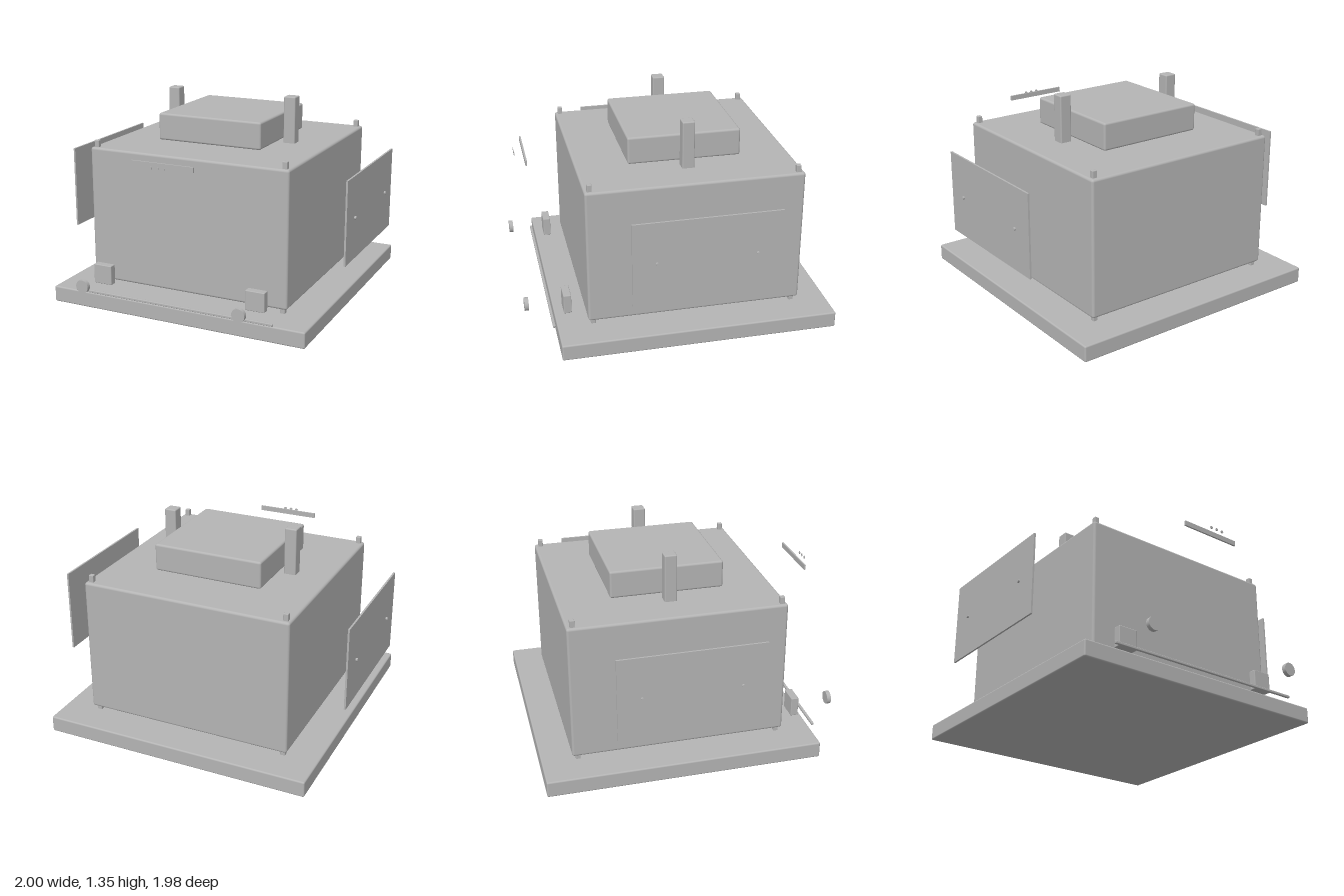
import * as THREE from 'three';
import { RoundedBoxGeometry } from 'three/addons/geometries/RoundedBoxGeometry.js';

export function createModel() {
  const model = new THREE.Group();
  model.name = 'explodedEnclosure';
  const grey = new THREE.MeshStandardMaterial({ color: 0xb4b4b4 });
  grey.name = 'plain grey';
  const flatGrey = grey;

  const add = (name, geometry, x, y, z, material = grey) => {
    const mesh = new THREE.Mesh(geometry, material);
    mesh.name = name;
    mesh.position.set(x, y, z);
    model.add(mesh);
    return mesh;
  };
  // Box from its extents, with optional rounded edges
  const box = (name, [x0, x1], [y0, y1], [z0, z1], radius = 0) => {
    const size = [x1 - x0, y1 - y0, z1 - z0];
    const geometry = radius
      ? new RoundedBoxGeometry(...size, 3, radius)
      : new THREE.BoxGeometry(...size);
    return add(name, geometry, (x0 + x1) / 2, (y0 + y1) / 2, (z0 + z1) / 2);
  };
  // Eight-sided disc with flat sides
  const octagon = (name, radius, y0, y1, z) => {
    const geometry = new THREE.CylinderGeometry(radius, radius, y1 - y0, 8).toNonIndexed();
    geometry.computeVertexNormals();
    add(name, geometry, 0, (y0 + y1) / 2, z, flatGrey);
  };

  // Base plate, main housing and top unit
  box('basePlate', [-0.892, 0.892], [0, 0.107], [-0.99, 0.797], 0.01);
  box('housing', [-0.697, 0.695], [0.138, 1.035], [-0.796, 0.6], 0.016);
  box('topUnit', [-0.37, 0.364], [1.05, 1.23], [-0.464, 0.272], 0.014);

  // Spacer discs under the housing and under the top unit
  octagon('lowerSpacer', 0.215, 0.1, 0.145, -0.092);
  octagon('upperSpacer', 0.25, 1.03, 1.055, -0.092);

  // Corner pegs running through the housing
  for (const x of [-0.662, 0.658]) {
    for (const z of [-0.757, 0.566]) {
      box('cornerPeg', [x - 0.016, x + 0.016], [0.1, 1.08], [z - 0.015, z + 0.015], 0.004);
    }
  }

  // Upright posts beside the top unit
  for (const x of [-0.432, 0.425]) {
    box('uprightPost', [x - 0.04, x + 0.04], [1.02, 1.345], [-0.138, -0.058], 0.008);
  }

  // Front mounting blocks and their round knobs
  for (const x of [-0.546, 0.541]) {
    box('mountingBlock', [x - 0.065, x + 0.065], [0.16, 0.29], [0.694, 0.744], 0.005);
    const knob = new THREE.CylinderGeometry(0.043, 0.043, 0.027, 32).rotateX(Math.PI / 2);
    add('knob', knob, x, 0.226, 0.975);
  }

  // Long trim strip, small label strip and its three indicator dots
  box('trimStrip', [-0.697, 0.695], [0.12, 0.137], [0.81, 0.827], 0.004);
  box('indicatorStrip', [-0.214, 0.208], [1.035, 1.069], [0.889, 0.9]);
  for (const x of [-0.047, -0.003, 0.041]) {
    const dot = new THREE.CylinderGeometry(0.01, 0.01, 0.004, 16).rotateX(Math.PI / 2);
    add('indicatorDot', dot, x, 1.052, 0.956);
  }

  // Side panels, each with two fixing screws
  for (const side of [-1, 1]) {
    const x = side * 0.981;
    box('sidePanel', [x - 0.006, x + 0.006], [0.398, 0.947], [-0.56, 0.371]);
    for (const z of [-0.406, 0.219]) {
      const screw = new THREE.CylinderGeometry(0.01, 0.01, 0.016, 16).rotateZ(Math.PI / 2);
      add('panelScrew', screw, side * 0.992, 0.674, z);
    }
  }
  return model;
}
